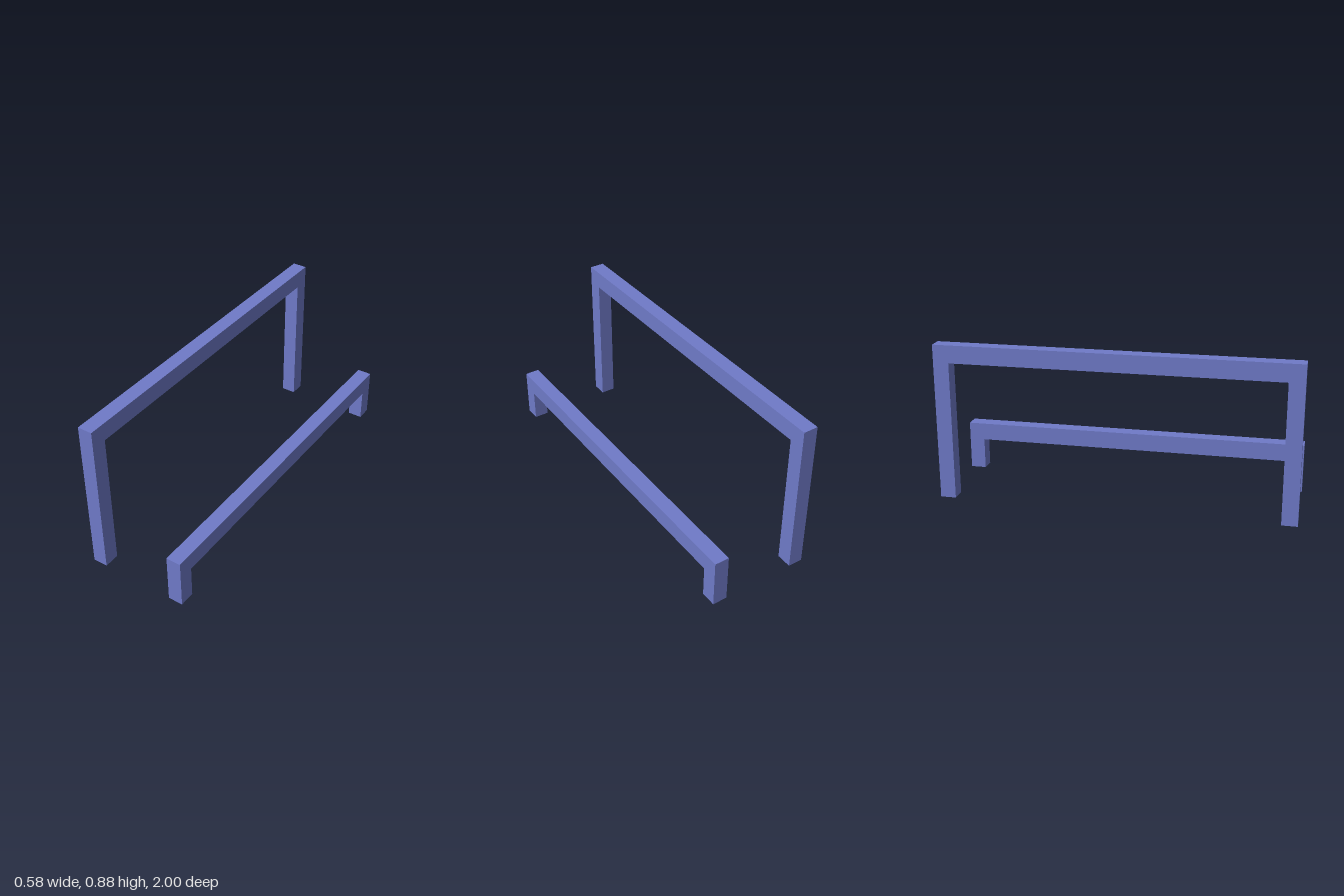
import * as THREE from 'three';

const LENGTH = 2, THICK = 0.083, LEG = 0.088, BEAM = 0.1;

// One-piece upside-down U: two legs joined by a beam, running along z
function makeRail(name, x, height, material) {
  const h = LENGTH / 2, inner = h - LEG, under = height - BEAM;
  const outline = new THREE.Shape([
    [-h, 0], [-inner, 0], [-inner, under], [inner, under],
    [inner, 0], [h, 0], [h, height], [-h, height],
  ].map(([z, y]) => new THREE.Vector2(z, y)));
  const geometry = new THREE.ExtrudeGeometry(outline, { depth: THICK, bevelEnabled: false });
  geometry.translate(0, 0, -THICK / 2);
  geometry.rotateY(-Math.PI / 2);
  const rail = new THREE.Mesh(geometry, material);
  rail.name = name;
  rail.position.x = x;
  return rail;
}

export function createModel() {
  const group = new THREE.Group();
  group.name = 'railPair';
  const blue = new THREE.MeshStandardMaterial({ color: 0x6f7ac8 });
  group.add(
    makeRail('tallRail', -0.248, 0.885, blue),
    makeRail('lowRail', 0.248, 0.281, blue),
  );
  return group;
}
